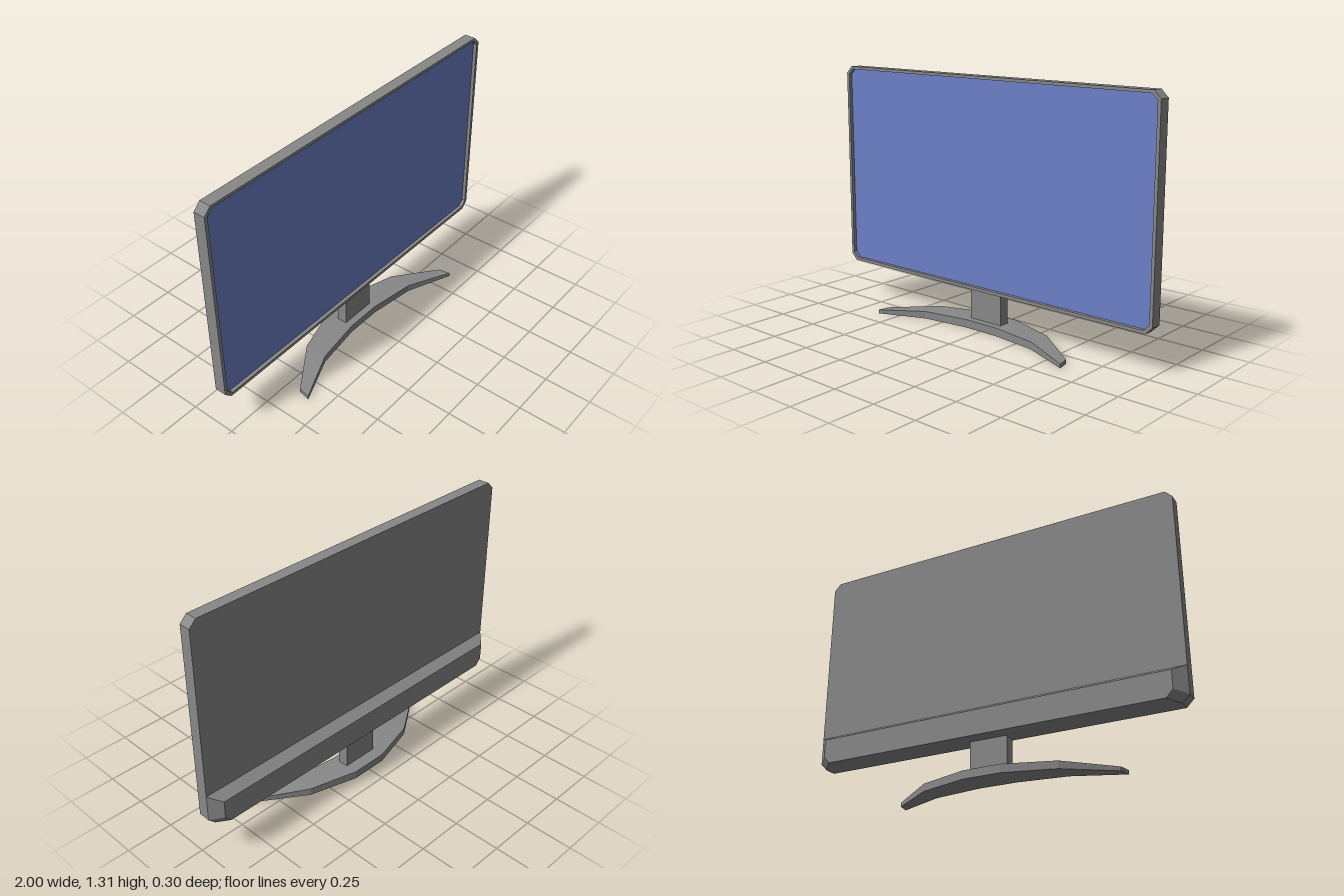
import * as THREE from 'three';

const grey = new THREE.MeshStandardMaterial({ color: 0x888888 });
grey.name = 'grey plastic';
const blue = new THREE.MeshStandardMaterial({ color: 0x6b7fc7 });
blue.name = 'blue screen';

// Rectangle with cut corners, centred on x
function cutRect(Type, w, y0, y1, cut) {
  const p = [
    [w, y0 + cut], [w, y1 - cut], [w - cut, y1], [cut - w, y1],
    [-w, y1 - cut], [-w, y0 + cut], [cut - w, y0], [w - cut, y0],
  ];
  return new Type(p.map(([x, y]) => new THREE.Vector2(x, y)));
}

// Flat-shaded solid through equal-sized rings, counter-clockwise about the loft direction
function loft(rings) {
  const pos = [];
  const tri = (...pts) => pts.forEach((p) => pos.push(...p));
  const n = rings[0].length;
  for (let s = 0; s < rings.length - 1; s++) {
    const a = rings[s], b = rings[s + 1];
    for (let i = 0; i < n; i++) {
      const j = (i + 1) % n;
      tri(a[i], a[j], b[j]);
      tri(a[i], b[j], b[i]);
    }
  }
  const first = rings[0], last = rings[rings.length - 1];
  for (let i = 1; i < n - 1; i++) {
    tri(first[0], first[i + 1], first[i]);
    tri(last[0], last[i], last[i + 1]);
  }
  const g = new THREE.BufferGeometry();
  g.setAttribute('position', new THREE.Float32BufferAttribute(pos, 3));
  g.computeVertexNormals();
  return g;
}

export function createModel() {
  const model = new THREE.Group();
  model.name = 'monitor';
  const add = (name, geometry, material, x = 0, y = 0, z = 0) => {
    const mesh = new THREE.Mesh(geometry, material);
    mesh.name = name;
    mesh.position.set(x, y, z);
    model.add(mesh);
  };
  const outer = () => cutRect(THREE.Shape, 1, 0.204, 1.312, 0.037);
  const extrude = (shape, depth) =>
    new THREE.ExtrudeGeometry(shape, { depth, bevelEnabled: false });

  // Panel body with a raised bezel around the recessed screen
  add('panelBody', extrude(outer(), 0.042), grey, 0, 0, -0.077);
  const frame = outer();
  frame.holes.push(cutRect(THREE.Path, 0.983, 0.221, 1.297, 0.03));
  add('bezel', extrude(frame, 0.02), grey, 0, 0, -0.035);
  add('screen', new THREE.ShapeGeometry(cutRect(THREE.Shape, 0.983, 0.221, 1.297, 0.03)),
    blue, 0, 0, -0.034);

  // Tapered housing along the lower back
  const housingRing = (w, inner, top, mid, bottom, z) => [
    [w, mid, z], [w, top, z], [-w, top, z], [-w, mid, z], [-inner, bottom, z], [inner, bottom, z],
  ];
  add('rearHousing', loft([
    housingRing(0.943, 0.91, 0.35, 0.257, 0.22, -0.132),
    housingRing(1, 0.963, 0.382, 0.241, 0.204, -0.077),
  ]), grey);

  // Neck between base and panel
  add('neck', new THREE.BoxGeometry(0.2, 0.195, 0.056), grey, 0, 0.1175, -0.058);

  // Curved base: front x, front z, back x, back z, height
  const half = [
    [0.1, 0.01, 0.1, -0.154, 0.043],
    [0.36, 0.045, 0.36, -0.08, 0.039],
    [0.613, 0.15, 0.6, 0.085, 0.021],
  ];
  const mirrored = half.map(([fx, fz, bx, bz, h]) => [-fx, fz, -bx, bz, h]).reverse();
  add('base', loft([...mirrored, ...half].map(([fx, fz, bx, bz, h]) => [
    [bx, 0, bz], [bx, h, bz], [fx, h, fz], [fx, 0, fz],
  ])), grey);

  return model;
}
